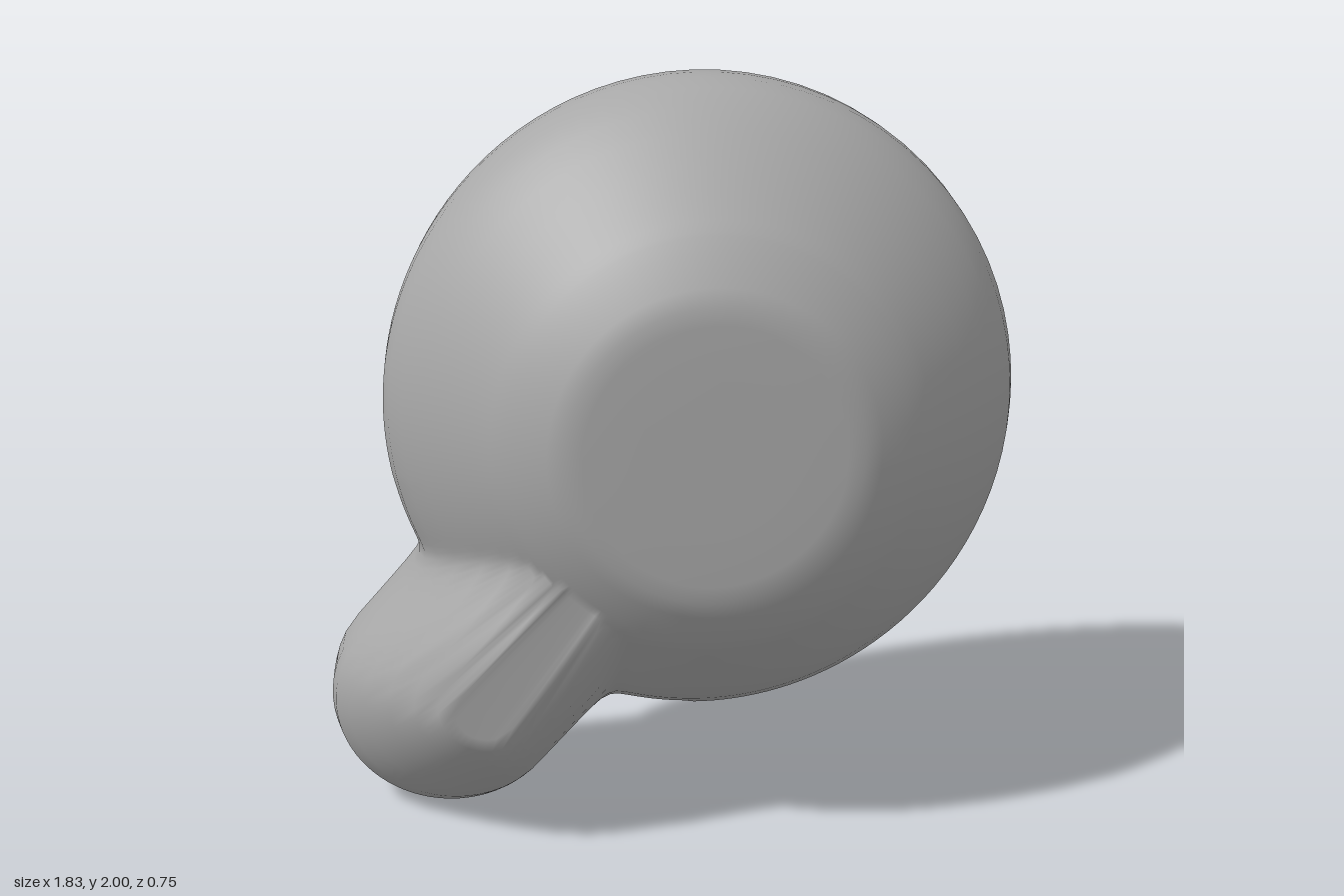
import * as THREE from 'three';

// Layers from front to back: [z, disc radius, lobe end distance, lobe half width]
const LAYERS = [
  [0.357, 0.0, 0, 0], [0.356, 0.2, 0, 0], [0.355, 0.34, 0, 0], [0.350, 0.385, 0, 0],
  [0.335, 0.43, 0, 0], [0.285, 0.51, 0, 0], [0.262, 0.54, 0, 0], [0.255, 0.55, 0.92, 0.08],
  [0.235, 0.573, 0.92, 0.125], [0.19, 0.62, 0.94, 0.175], [0.13, 0.685, 0.975, 0.22],
  [0.06, 0.752, 1.02, 0.258], [0.0, 0.802, 1.055, 0.285], [-0.06, 0.838, 1.08, 0.305],
  [-0.12, 0.853, 1.087, 0.312], [-0.18, 0.853, 1.087, 0.312], [-0.24, 0.847, 1.087, 0.31],
  [-0.285, 0.825, 1.087, 0.295], [-0.32, 0.785, 1.087, 0.268], [-0.34, 0.735, 1.087, 0.235],
  [-0.348, 0.68, 1.08, 0.19], [-0.35, 0.64, 0, 0], [-0.352, 0.4, 0, 0], [-0.353, 0.0, 0, 0],
];
const CX = 0.083, CY = 1.148, AXIS = Math.atan2(-0.84, -0.69), STEPS = 144;

// Distance from the disc centre to the lobe's capsule outline at angle a off its axis
function lobeRadius(a, d, w) {
  if (w === 0) return 0;
  const s = Math.abs(Math.sin(a)), c = Math.cos(a);
  if (c <= 0) return w;
  if (w * c <= d * s) return w / s;
  return d * c + Math.sqrt(Math.max(0, w * w - d * d * s * s));
}

// Soft union of disc and lobe
function blend(a, b) {
  const m = Math.max(a, b), p = 26;
  return m === 0 ? 0 : m * Math.pow(Math.pow(a / m, p) + Math.pow(b / m, p), 1 / p);
}

function bodyGeometry() {
  const pos = [], index = [];
  LAYERS.forEach(([z, r, d, w], i) => {
    for (let j = 0; j < STEPS; j++) {
      const t = (2 * j) / STEPS - 1;
      const a = Math.PI * (0.4 * t + 0.6 * t * t * t); // closer samples around the lobe
      const th = AXIS + a;
      const disc = r * (1 - 0.023 * Math.cos(th) ** 2);
      const R = blend(disc, lobeRadius(a, d, w));
      const dx = R * Math.cos(th), dy = R * Math.sin(th);
      // slight lean of the disc, with the lobe bending back
      const bend = Math.cos(a) > 0.8 ? 0.18 * Math.max(0, R - 0.8) : 0;
      pos.push(CX + dx, CY + dy, z - 0.035 * dx - 0.03 * dy - bend);
      if (i === LAYERS.length - 1) continue;
      const k = (j + 1) % STEPS, A = i * STEPS + j, B = A + STEPS;
      const D = i * STEPS + k, C = D + STEPS;
      if (i < LAYERS.length - 2) index.push(A, B, C);
      else index.push(A, B, D);
      if (i > 0 && i < LAYERS.length - 2) index.push(A, C, D);
    }
  });
  const g = new THREE.BufferGeometry();
  g.setAttribute('position', new THREE.Float32BufferAttribute(pos, 3));
  g.setIndex(index);
  g.computeVertexNormals();
  // the two centre points are shared by a fan, so give them plain normals
  const n = g.attributes.normal, last = (LAYERS.length - 1) * STEPS;
  for (let j = 0; j < STEPS; j++) {
    n.setXYZ(j, 0.035, 0.03, 1);
    n.setXYZ(last + j, -0.035, -0.03, -1);
  }
  g.normalizeNormals();
  return g;
}

export function createModel() {
  const group = new THREE.Group();
  group.name = 'lobedDisc';
  const grey = new THREE.MeshStandardMaterial({ color: 0xa8a8a8 });
  grey.name = 'plain grey';
  const body = new THREE.Mesh(bodyGeometry(), grey);
  body.name = 'discWithLobe';
  group.add(body);
  return group;
}
